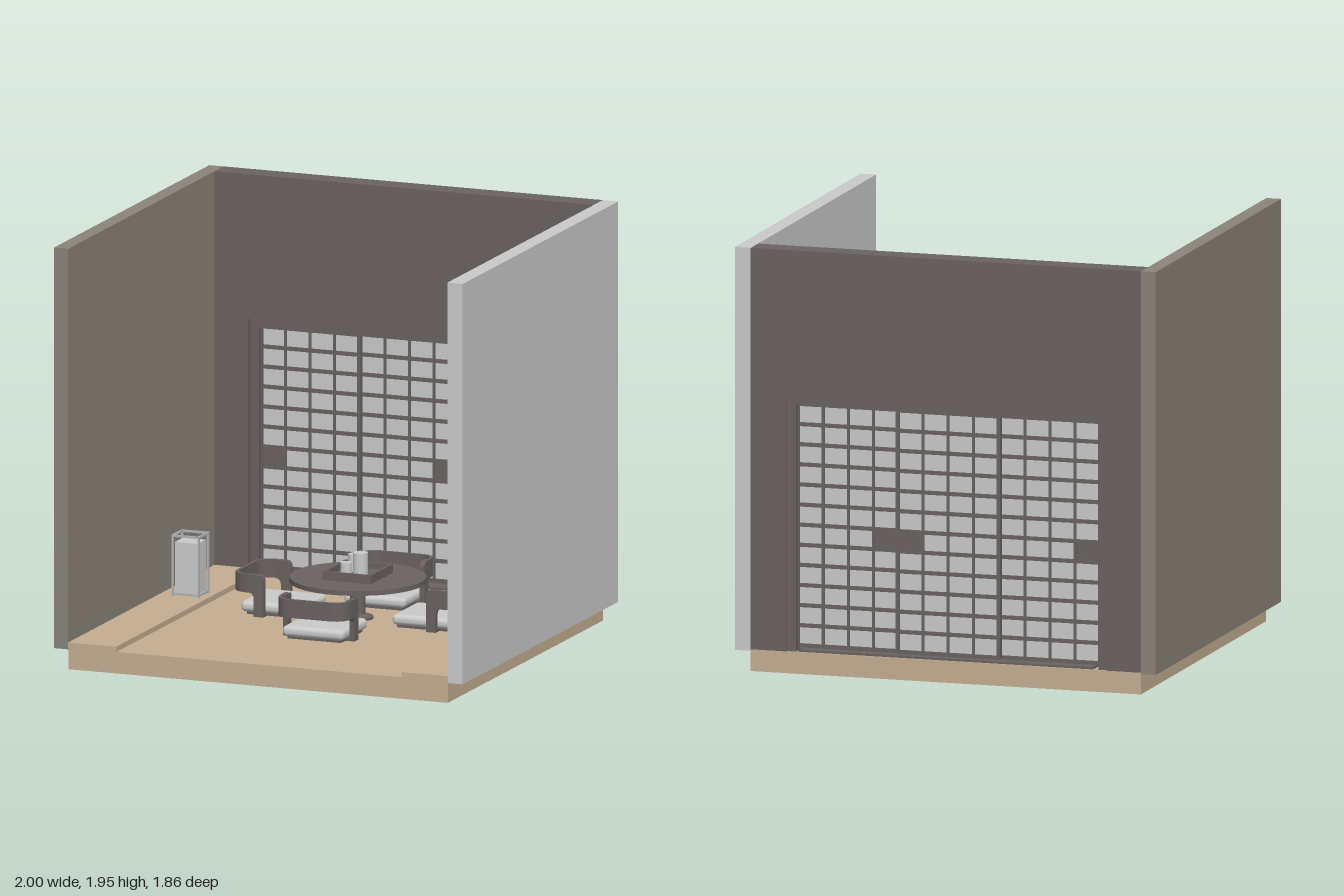
import * as THREE from 'three';
import { toCreasedNormals } from 'three/addons/utils/BufferGeometryUtils.js';
import { RoundedBoxGeometry } from 'three/addons/geometries/RoundedBoxGeometry.js';

const mat = (name, color) => Object.assign(new THREE.MeshStandardMaterial({ color }), { name });

export function createModel() {
  const root = new THREE.Group();
  const wood = mat('tan wood', 0xc4ae92);
  const dark = mat('dark brown', 0x696261);
  const white = mat('off white', 0xcacaca);
  const taupe = mat('taupe plaster', 0x8a8479);
  const pale = mat('pale grey', 0xb4b4b4);

  const add = (parent, name, geo, material, x = 0, y = 0, z = 0) => {
    const mesh = new THREE.Mesh(geo, material);
    mesh.name = name;
    mesh.position.set(x, y, z);
    parent.add(mesh);
    return mesh;
  };
  // box given by its minimum and maximum corners
  const box = (parent, name, material, x0, x1, y0, y1, z0, z1) =>
    add(parent, name, new THREE.BoxGeometry(x1 - x0, y1 - y0, z1 - z0), material,
      (x0 + x1) / 2, (y0 + y1) / 2, (z0 + z1) / 2);
  const group = (parent, name, x = 0, y = 0, z = 0) => {
    const g = new THREE.Group();
    g.name = name;
    g.position.set(x, y, z);
    parent.add(g);
    return g;
  };

  // floor with a raised strip along each side
  box(root, 'floor', wood, -0.93, 0.925, 0, 0.1, -0.93, 0.925);
  box(root, 'leftFloorStep', wood, 0.7, 0.925, 0.1, 0.125, -0.82, 0.93);
  box(root, 'rightFloorStep', wood, -0.93, -0.695, 0.1, 0.125, -0.82, 0.93);

  // walls, the back one with a wide doorway
  box(root, 'rightWall', taupe, -1, -0.93, 0.093, 1.95, -0.93, 0.93);
  box(root, 'leftWall', white, 0.925, 1, 0.093, 1.95, -0.93, 0.93);
  const wall = new THREE.Shape();
  [[-0.93, 0.1], [-0.765, 0.1], [-0.765, 1.28], [0.755, 1.28], [0.755, 0.1], [0.925, 0.1], [0.925, 1.95], [-0.93, 1.95]]
    .forEach(([x, y], i) => (i ? wall.lineTo(x, y) : wall.moveTo(x, y)));
  add(root, 'backWall', new THREE.ExtrudeGeometry(wall, { depth: 0.11, bevelEnabled: false }), dark, 0, 0, -0.93);

  // door frame
  const screen = group(root, 'slidingScreen');
  box(screen, 'frameTop', dark, -0.765, 0.755, 1.24, 1.28, -0.92, -0.85);
  box(screen, 'frameRight', dark, -0.765, -0.725, 0.1, 1.24, -0.92, -0.85);
  box(screen, 'frameLeft', dark, 0.712, 0.755, 0.1, 1.24, -0.92, -0.85);
  box(screen, 'sill', dark, -0.7, 0.7, 0.1, 0.11, -0.92, -0.82);

  // three sliding panels of paper with a lattice of 4 by 12 panes
  const cw = 1.437 / 12, y0 = 0.125, rh = 1.112 / 12;
  for (let p = 0; p < 3; p++) {
    const x0 = -0.725 + p * 4 * cw, z = p === 1 ? -0.9 : -0.885;
    const panel = group(screen, 'panel' + (p + 1), x0, y0, z);
    box(panel, 'paper', white, 0, 4 * cw, 0, 12 * rh, -0.003, 0.003);
    for (let c = 0; c <= 4; c++) {
      const w = c % 4 ? 0.006 : 0.009;
      box(panel, 'verticalBar', dark, c * cw - w, c * cw + w, 0, 12 * rh, -0.011, 0.011);
    }
    for (let r = 0; r <= 12; r++)
      box(panel, 'horizontalBar', dark, 0, 4 * cw, r * rh - 0.009, r * rh + 0.009, -0.01, 0.01);
    const h = p === 1 ? 3 : 0;
    box(panel, 'handlePlate', dark, h * cw, (h + 1) * cw, 5 * rh, 6 * rh, -0.009, 0.009);
  }

  // round table on a turned pedestal
  const table = group(root, 'table', 0.05, 0, -0.14);
  add(table, 'tableTop', new THREE.CylinderGeometry(0.31, 0.31, 0.022, 64), dark, 0, 0.283, 0);
  const profile = [[0, 0.1], [0.07, 0.1], [0.07, 0.112], [0.035, 0.125], [0.035, 0.25], [0.06, 0.272]]
    .map(([r, y]) => new THREE.Vector2(r, y));
  add(table, 'pedestal', toCreasedNormals(new THREE.LatheGeometry(profile, 32), 0.6), dark);

  // tray with a raised rim
  box(table, 'trayBase', dark, -0.118, 0.118, 0.294, 0.306, -0.133, 0.133);
  for (const s of [-1, 1]) {
    add(table, 'trayRim', new THREE.BoxGeometry(0.012, 0.041, 0.266), dark, s * 0.112, 0.3145, 0);
    add(table, 'trayRim', new THREE.BoxGeometry(0.236, 0.041, 0.012), dark, 0, 0.3145, s * 0.127);
  }
  // candles
  [[-0.04, -0.05, 0.027, 0.385], [-0.04, 0.042, 0.027, 0.365], [0.01, -0.005, 0.034, 0.405]].forEach(([x, z, r, top]) =>
    add(table, 'candle', new THREE.CylinderGeometry(r, r, top - 0.306, 24), white, x, (top + 0.306) / 2, z));

  // chair parts: bent back band, side legs
  const H = 0.175, T = 0.015;
  const band = new THREE.Shape();
  band.moveTo(-H, 0.09);
  band.quadraticCurveTo(-H, 0, -H + 0.08, 0);
  band.lineTo(H - 0.08, 0);
  band.quadraticCurveTo(H, 0, H, 0.09);
  band.lineTo(H - T, 0.09);
  band.quadraticCurveTo(H - T, T, H - 0.085, T);
  band.lineTo(-H + 0.085, T);
  band.quadraticCurveTo(-H + T, T, -H + T, 0.09);
  const bandGeo = toCreasedNormals(new THREE.ExtrudeGeometry(band,
    { depth: 0.085, bevelEnabled: false, curveSegments: 10 }).rotateX(-Math.PI / 2), 0.6);

  const leg = new THREE.Shape();
  leg.moveTo(0.085, 0.295);
  leg.lineTo(0.135, 0.295);
  leg.quadraticCurveTo(0.16, 0.295, 0.16, 0.265);
  leg.lineTo(0.16, 0.1);
  leg.lineTo(0.112, 0.1);
  leg.lineTo(0.112, 0.18);
  leg.quadraticCurveTo(0.112, 0.21, 0.085, 0.21);
  const legGeo = toCreasedNormals(new THREE.ExtrudeGeometry(leg,
    { depth: 0.024, bevelEnabled: false, curveSegments: 8 }).rotateY(Math.PI / 2), 0.6);
  const seatGeo = new RoundedBoxGeometry(0.3, 0.05, 0.305, 4, 0.022);

  [[0.045, 0.43, 0], [0.045, -0.68, Math.PI], [-0.51, -0.163, -Math.PI / 2], [0.604, -0.163, Math.PI / 2]]
    .forEach(([x, z, turn]) => {
      const chair = group(root, 'chair', x, 0, z);
      chair.rotation.y = turn;
      add(chair, 'seat', seatGeo, white, 0, 0.137, -0.187);
      add(chair, 'backRest', bandGeo, dark, 0, 0.21, 0);
      add(chair, 'leftLeg', legGeo, dark, H - 0.024);
      add(chair, 'rightLeg', legGeo, dark, -H);
      box(chair, 'seatBase', dark, -H, H, 0.1, 0.114, -0.16, -0.112);
      box(chair, 'seatPlate', dark, -0.13, 0.13, 0.1, 0.114, -0.32, -0.06);
    });

  // floor lanterns: paper box in an open frame
  for (const x of [-0.795, 0.818]) {
    const lantern = group(root, 'lantern', x, 0.125, -0.203);
    box(lantern, 'shade', white, -0.056, 0.056, 0.008, 0.25, -0.05, 0.05);
    for (const sx of [-1, 1]) {
      for (const sz of [-1, 1])
        add(lantern, 'post', new THREE.BoxGeometry(0.009, 0.285, 0.009), pale, sx * 0.063, 0.1425, sz * 0.056);
      for (const y of [0.012, 0.28]) {
        add(lantern, 'sideRail', new THREE.BoxGeometry(0.009, 0.01, 0.112), pale, sx * 0.063, y, 0);
        add(lantern, 'crossRail', new THREE.BoxGeometry(0.126, 0.01, 0.009), pale, 0, y, sx * 0.056);
      }
    }
  }
  return root;
}
